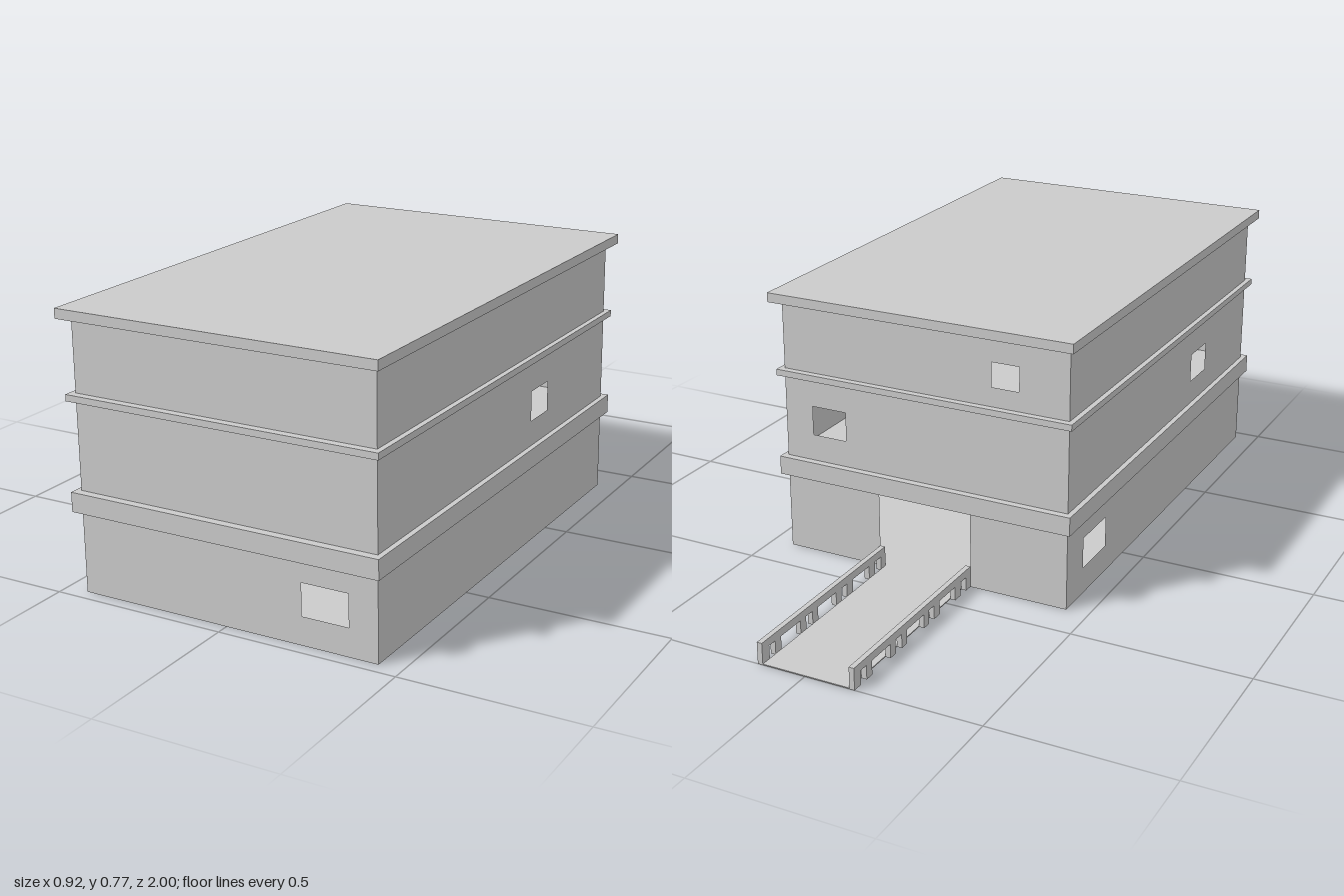
import * as THREE from 'three';

const W = 0.435, BACK = -0.385, FRONT = 0.965, WALL_TOP = 0.746;

export function createModel() {
  const model = new THREE.Group();
  const solid = new THREE.MeshStandardMaterial({ color: 0xcccccc, flatShading: true });
  const sheet = new THREE.MeshStandardMaterial({ color: 0xcccccc, flatShading: true, side: THREE.DoubleSide });

  // Box given by its lower and upper bounds
  function box(name, x0, x1, y0, y1, z0, z1, parent = model) {
    const mesh = new THREE.Mesh(new THREE.BoxGeometry(x1 - x0, y1 - y0, z1 - z0), solid);
    mesh.position.set((x0 + x1) / 2, (y0 + y1) / 2, (z0 + z1) / 2);
    mesh.name = name;
    parent.add(mesh);
  }

  // Thin wall with rectangular openings [u0, u1, y0, y1]
  function wall(name, u0, u1, windows, door) {
    const shape = new THREE.Shape();
    shape.moveTo(u0, 0);
    if (door) {
      shape.lineTo(door[0], 0);
      shape.lineTo(door[0], door[2]);
      shape.lineTo(door[1], door[2]);
      shape.lineTo(door[1], 0);
    }
    shape.lineTo(u1, 0);
    shape.lineTo(u1, WALL_TOP);
    shape.lineTo(u0, WALL_TOP);
    shape.closePath();
    for (const [a, b, c, d] of windows) {
      const hole = new THREE.Path();
      hole.moveTo(a, c).lineTo(a, d).lineTo(b, d).lineTo(b, c).closePath();
      shape.holes.push(hole);
    }
    const mesh = new THREE.Mesh(new THREE.ShapeGeometry(shape), sheet);
    mesh.name = name;
    model.add(mesh);
    return mesh;
  }

  // Outer walls
  wall('frontWall', -W, W, [[0.222, 0.354, 0.078, 0.167]]).position.z = FRONT;
  wall('backWall', -W, W, [[-0.29, -0.21, 0.6, 0.67], [0.242, 0.348, 0.36, 0.445]],
    [-0.145, 0.14, 0.232]).position.z = BACK;
  const left = wall('leftWall', BACK, FRONT, [[0.01, 0.115, 0.355, 0.44]]);
  const right = wall('rightWall', BACK, FRONT, [[-0.28, -0.13, 0.078, 0.167], [0.5, 0.62, 0.355, 0.44]]);
  left.position.x = W;
  right.position.x = -W;
  left.rotation.y = right.rotation.y = -Math.PI / 2;

  // Floor slabs project past the walls as bands; the roof overhangs most
  box('groundFloor', -W, W, 0, 0.003, BACK, FRONT);
  box('lowerSlab', -0.45, 0.45, 0.229, 0.283, -0.406, 0.988);
  box('upperSlab', -0.45, 0.45, 0.527, 0.545, -0.405, 0.987);
  box('roof', -0.458, 0.458, 0.744, 0.771, -0.421, 1);

  // Walkway to the back door
  box('walkwayDeck', -0.13, 0.125, 0, 0.003, -1, BACK);

  // Railings with pairs of short posts
  const posts = [[-0.41, -0.385], [-0.474, -0.443], [-0.592, -0.561], [-0.647, -0.62],
    [-0.765, -0.738], [-0.823, -0.796], [-0.941, -0.914], [-1, -0.968]];
  for (const [name, x0, x1] of [['rightRailing', -0.145, -0.13], ['leftRailing', 0.125, 0.14]]) {
    const railing = new THREE.Group();
    railing.name = name;
    model.add(railing);
    box('handrail', x0, x1, 0.04, 0.062, -1, BACK, railing);
    for (const [z0, z1] of posts) box('post', x0, x1, 0, 0.04, z0, z1, railing);
  }
  return model;
}
